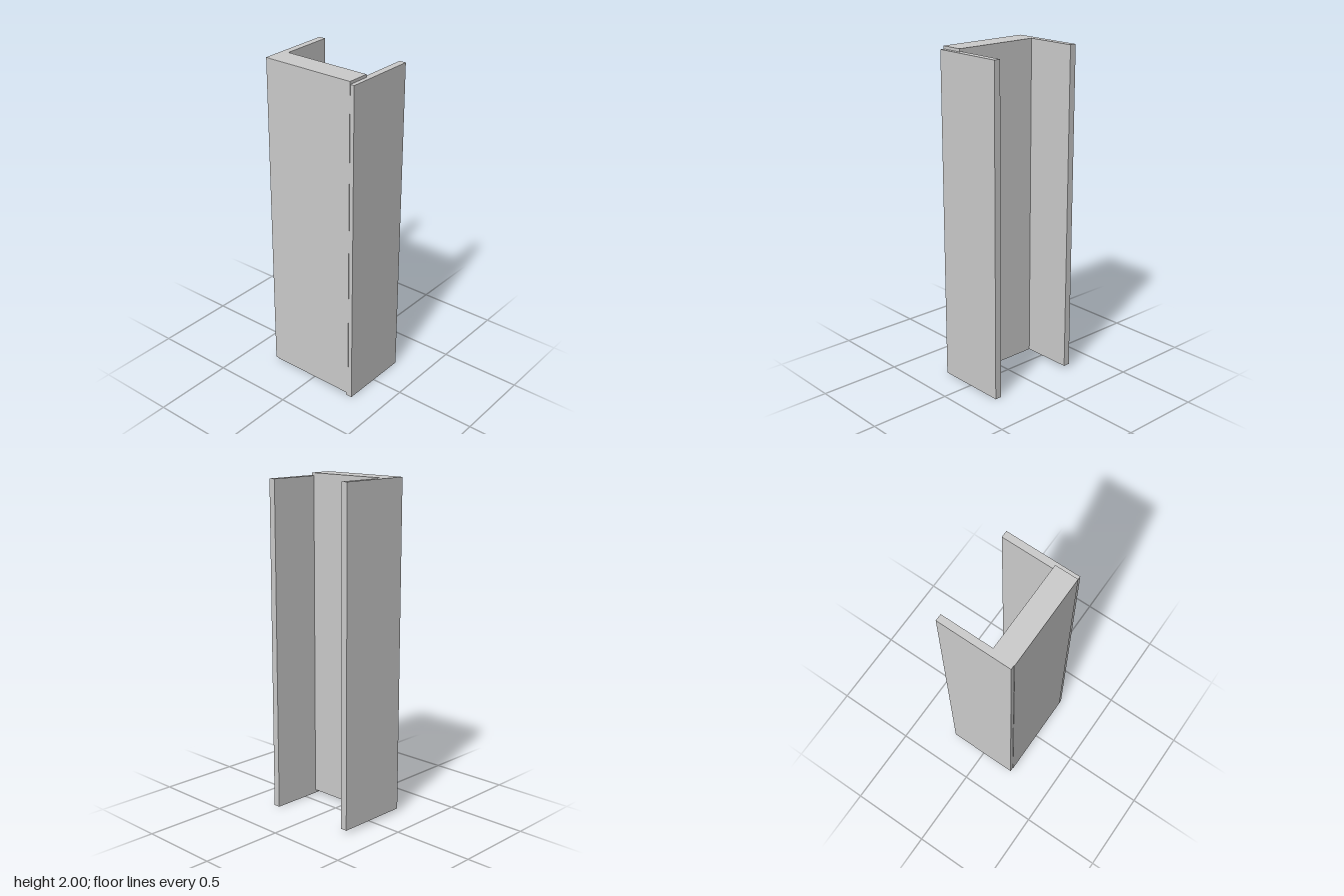
import * as THREE from 'three';

const material = new THREE.MeshStandardMaterial({ color: 0xcccccc });

// Box given by its lower and upper corners
function board(name, [x0, y0, z0], [x1, y1, z1]) {
  const mesh = new THREE.Mesh(new THREE.BoxGeometry(x1 - x0, y1 - y0, z1 - z0), material);
  mesh.name = name;
  mesh.position.set((x0 + x1) / 2, (y0 + y1) / 2, (z0 + z1) / 2);
  return mesh;
}

export function createModel() {
  const group = new THREE.Group();
  group.name = 'channel';
  group.add(
    // Thick panel closing the front of the channel
    board('frontPanel', [-0.278, 0.02, 0.087], [0.277, 2, 0.224]),
    // Thin side walls, the left one set slightly lower
    board('rightWall', [-0.303, 0.02, -0.226], [-0.262, 2, 0.221]),
    board('leftWall', [0.261, 0, -0.226], [0.302, 1.983, 0.221])
  );
  return group;
}
